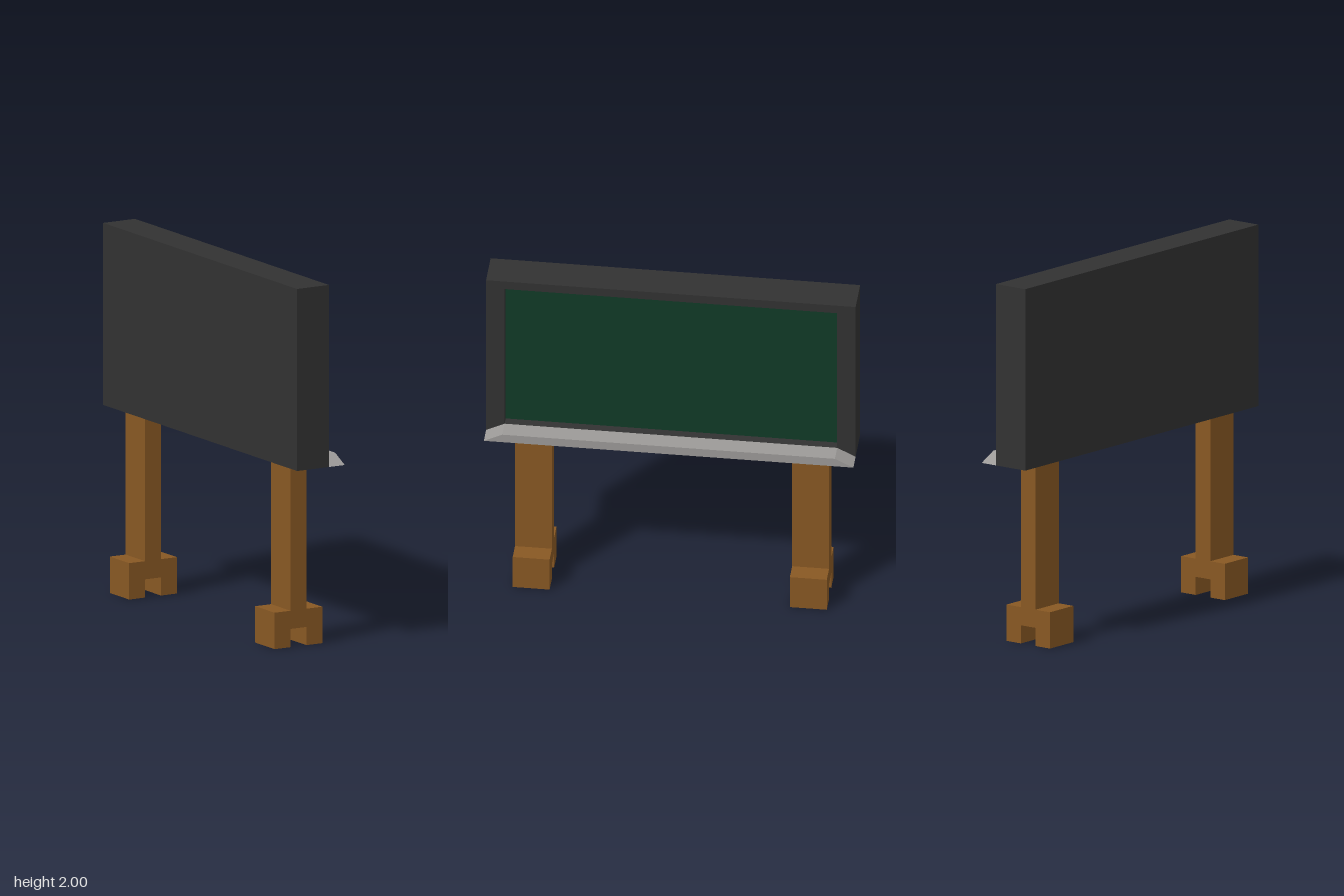
import * as THREE from 'three';

const mat = (name, color) => {
  const m = new THREE.MeshStandardMaterial({ color });
  m.name = name;
  return m;
};

const shapeFrom = (points) => new THREE.Shape(points.map(([x, y]) => new THREE.Vector2(x, y)));
const rect = (w, y0, y1) => [[-w, y0], [w, y0], [w, y1], [-w, y1]];
const extrude = (shape, depth) => new THREE.ExtrudeGeometry(shape, { depth, bevelEnabled: false });

export function createModel() {
  const frameBlack = mat('frameBlack', 0x323232);
  const boardGreen = mat('boardGreen', 0x113a27);
  const trayGrey = mat('trayGrey', 0x9c9a98);
  const wood = mat('wood', 0x885823);

  const model = new THREE.Group();
  model.name = 'chalkboard';

  const add = (name, geometry, material, parent = model) => {
    const mesh = new THREE.Mesh(geometry, material);
    mesh.name = name;
    parent.add(mesh);
    return mesh;
  };

  // Board assembly, drawn facing +z and then turned to face +x
  const board = new THREE.Group();
  board.name = 'board';
  board.rotation.y = Math.PI / 2;
  model.add(board);

  // Solid back and the raised rim around the writing surface
  add('backPanel', new THREE.BoxGeometry(2, 1, 0.15), frameBlack, board).position.set(0, 1.5, -0.05);
  const rim = shapeFrom(rect(1, 1, 2));
  rim.holes.push(new THREE.Path(shapeFrom(rect(0.9, 1.05, 1.95)).getPoints()));
  add('rim', extrude(rim, 0.05), frameBlack, board).position.z = 0.025;

  // Recessed writing surface
  add('writingSurface', new THREE.BoxGeometry(1.8, 0.9, 0.004), boardGreen, board).position.set(0, 1.5, 0.025);

  // Chalk tray with slanted ends
  const tray = shapeFrom([[-1, 1], [1, 1], [0.9, 1.05], [-0.9, 1.05]]);
  add('chalkTray', extrude(tray, 0.1), trayGrey, board).position.z = 0.075;

  // Posts standing on notched feet
  const foot = shapeFrom([
    [-0.15, 0], [-0.05, 0], [-0.05, 0.1], [0.05, 0.1],
    [0.05, 0], [0.15, 0], [0.15, 0.2], [-0.15, 0.2],
  ]);
  for (const [side, z] of [['front', 0.75], ['back', -0.75]]) {
    const leg = new THREE.Group();
    leg.name = `${side}Leg`;
    leg.position.set(-0.025, 0, z);
    model.add(leg);
    add(`${side}Foot`, extrude(foot, 0.2), wood, leg).position.z = -0.1;
    add(`${side}Post`, new THREE.BoxGeometry(0.1, 0.8, 0.2), wood, leg).position.y = 0.6;
  }

  return model;
}
